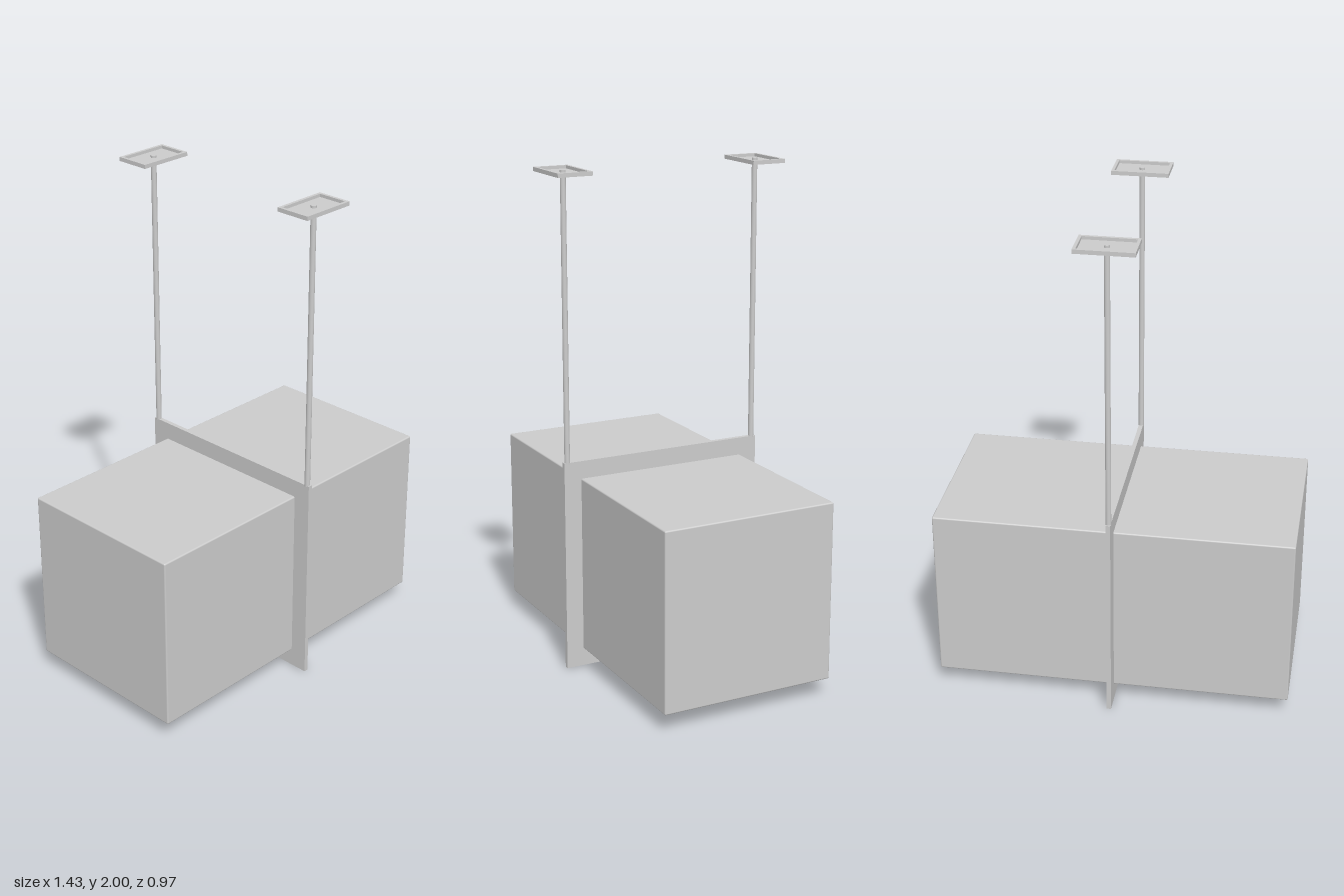
import * as THREE from 'three';
import { RoundedBoxGeometry } from 'three/addons/geometries/RoundedBoxGeometry.js';

const material = new THREE.MeshStandardMaterial({ color: 0xcccccc });

function addMesh(parent, name, geometry, x = 0, y = 0, z = 0) {
  const mesh = new THREE.Mesh(geometry, material);
  mesh.name = name;
  mesh.position.set(x, y, z);
  parent.add(mesh);
  return mesh;
}

// Rectangular ring in the XY plane, extruded along z and centred
function ringGeometry(w, h, border, depth) {
  const rect = (Type, a, b) => new Type([
    new THREE.Vector2(-a, -b), new THREE.Vector2(a, -b),
    new THREE.Vector2(a, b), new THREE.Vector2(-a, b),
  ]);
  const shape = rect(THREE.Shape, w / 2, h / 2);
  shape.holes.push(rect(THREE.Path, w / 2 - border, h / 2 - border));
  return new THREE.ExtrudeGeometry(shape, { depth, bevelEnabled: false })
    .translate(0, 0, -depth / 2);
}

export function createModel() {
  const model = new THREE.Group();
  model.name = 'pendantLamp';

  // Box shade with barely softened edges
  addMesh(model, 'shade', new RoundedBoxGeometry(1.426, 0.716, 0.716, 2, 0.006), 0, 0.43, 0);

  // Thin square frame wrapped around the middle of the shade
  addMesh(model, 'frame', ringGeometry(0.86, 0.86, 0.073, 0.018).rotateY(Math.PI / 2), 0, 0.43, 0);

  // A rod and a shallow open-topped ceiling tray at each end of the frame
  for (const side of [1, -1]) {
    const hanger = new THREE.Group();
    hanger.name = side > 0 ? 'frontHanger' : 'backHanger';
    hanger.position.z = side * 0.414;
    model.add(hanger);

    addMesh(hanger, 'rod', new THREE.CylinderGeometry(0.011, 0.011, 1.142, 16), 0, 1.426, 0);
    addMesh(hanger, 'trayFloor', new THREE.BoxGeometry(0.226, 0.004, 0.142), 0, 1.986, 0);
    addMesh(hanger, 'trayRim', ringGeometry(0.226, 0.142, 0.012, 0.012).rotateX(Math.PI / 2), 0, 1.994, 0);
  }

  return model;
}
